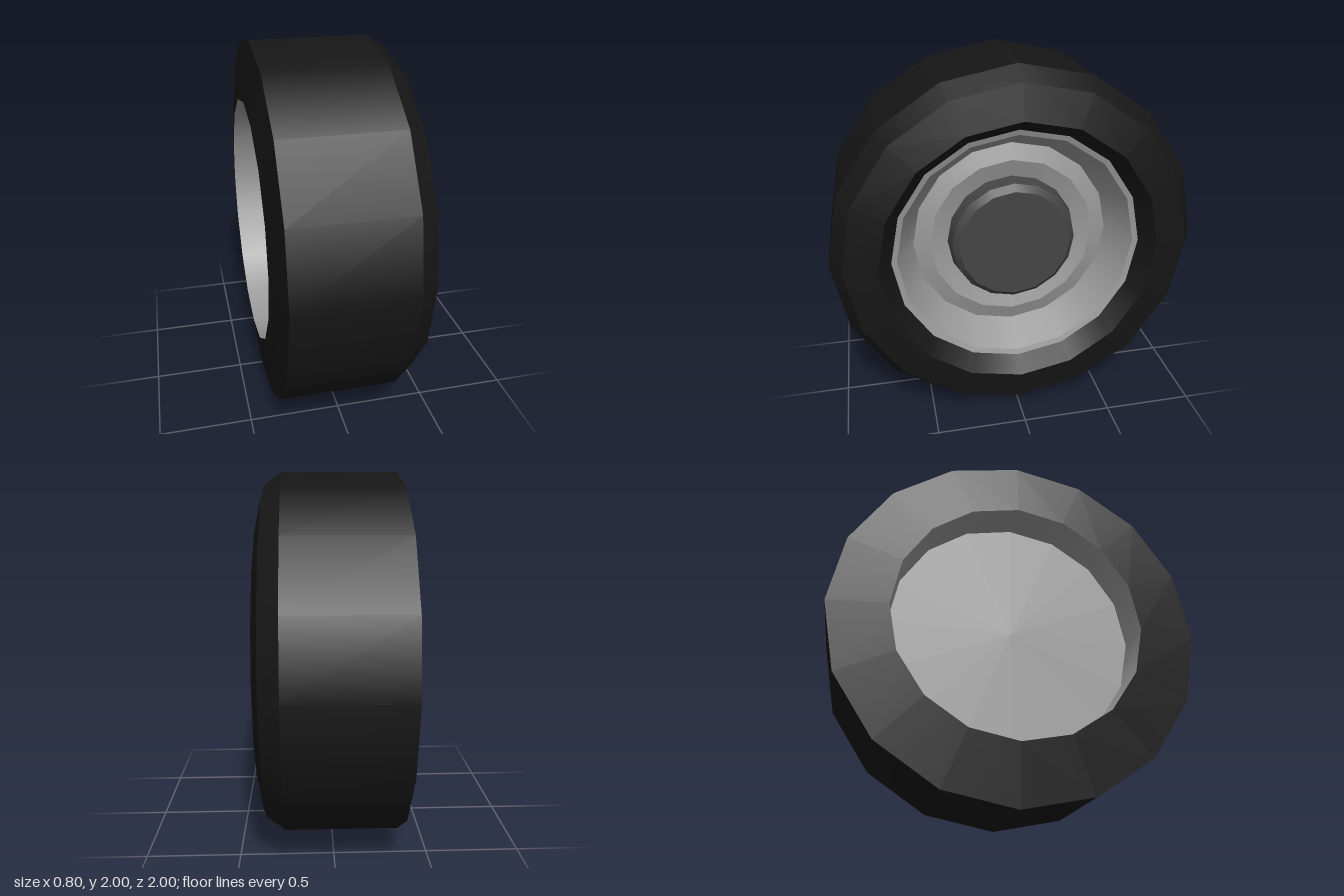
import * as THREE from 'three';
import { mergeGeometries } from 'three/addons/utils/BufferGeometryUtils.js';

const SIDES = 16;

// Revolves a profile of [x, radius] points about the x axis.
// Each band is its own lathe: smooth around the wheel, sharp between bands.
function revolve(name, profile, color) {
  const bands = [];
  for (let i = 0; i < profile.length - 1; i++) {
    const points = [profile[i], profile[i + 1]].map(([x, r]) => new THREE.Vector2(r, x));
    bands.push(new THREE.LatheGeometry(points, SIDES));
  }
  const geometry = mergeGeometries(bands);
  geometry.rotateZ(-Math.PI / 2);
  const mesh = new THREE.Mesh(geometry, new THREE.MeshStandardMaterial({ color }));
  mesh.name = name;
  return mesh;
}

export function createModel() {
  const wheel = new THREE.Group();
  wheel.name = 'wheel';

  // Tyre: flat inner wall, wide tread, bevelled outer shoulder and lip
  wheel.add(revolve('tyre', [
    [-0.4, 0.68], [-0.36, 1], [0.26, 1], [0.36, 0.93], [0.4, 0.75], [0.3, 0.68],
  ], 0x161616));

  // Rim face: edge ring, deep dish and a raised ridge around the hub
  wheel.add(revolve('rimFace', [
    [0.3, 0.68], [0.29, 0.65], [0.1, 0.55], [0.13, 0.46], [0.1, 0.36],
  ], 0x999999));

  // Rim back: flat disc at the bottom of a straight-walled recess
  wheel.add(revolve('rimBack', [
    [-0.18, 0], [-0.18, 0.68], [-0.4, 0.68],
  ], 0x999999));

  // Hub cap: bevelled drum standing out of the dish
  wheel.add(revolve('hubCap', [
    [0.1, 0.36], [0.18, 0.345], [0.215, 0.31], [0.215, 0],
  ], 0x444444));

  wheel.position.y = 1;
  const model = new THREE.Group();
  model.add(wheel);
  return model;
}
